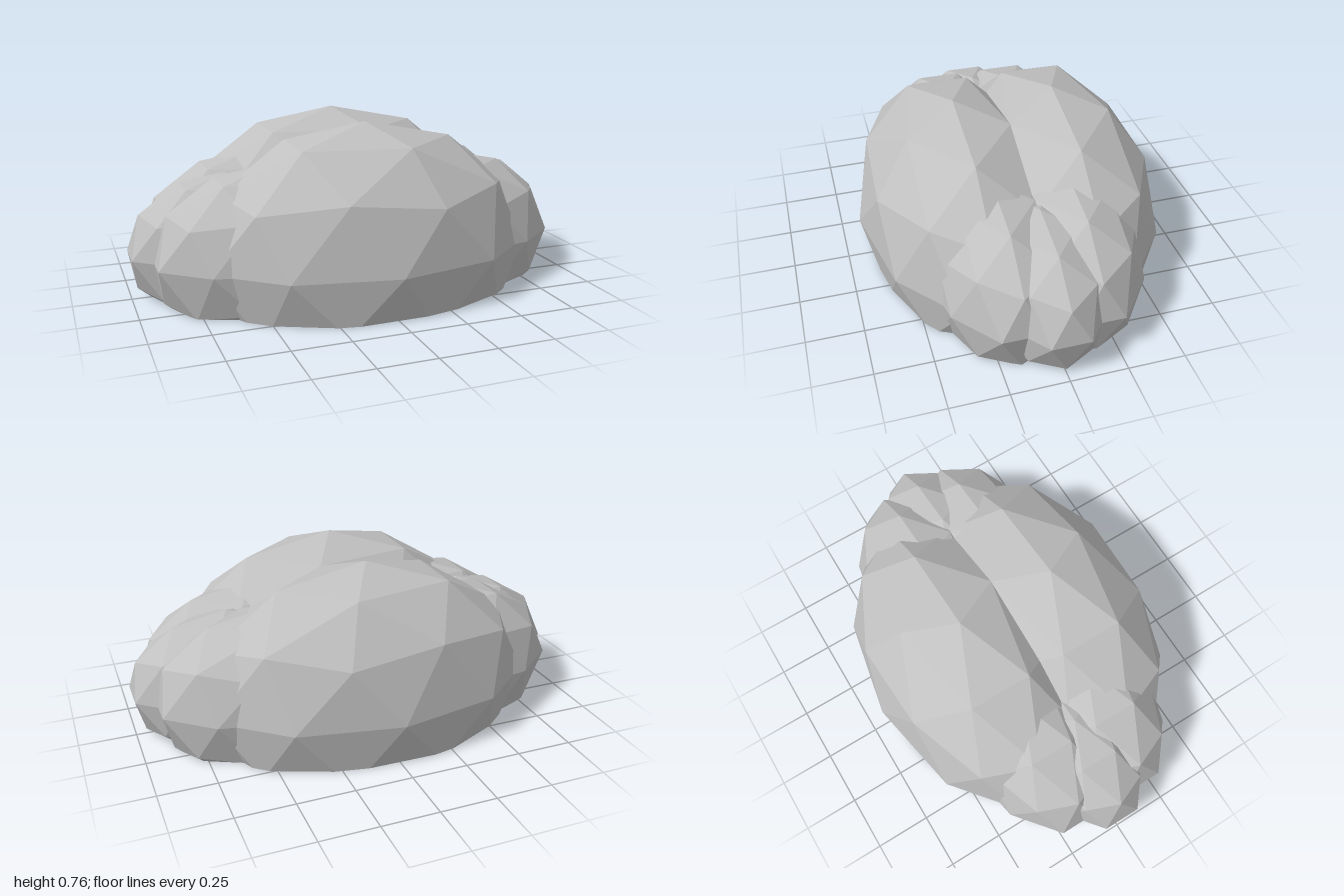
import * as THREE from 'three';

const GOLDEN = (1 + Math.sqrt(5)) / 2;

// Faceted ellipsoid with a vertex on top, sliced flat at y = 0 and capped
function lobeGeometry(centre, radii) {
  const ball = new THREE.IcosahedronGeometry(1, 1)
    .rotateZ(-Math.atan(1 / GOLDEN))
    .scale(...radii)
    .translate(...centre);
  const source = ball.getAttribute('position');
  const points = [];
  const rim = [];

  // Keep the part of each triangle above the ground
  for (let i = 0; i < source.count; i += 3) {
    const corners = [0, 1, 2].map(k => new THREE.Vector3().fromBufferAttribute(source, i + k));
    const kept = [];
    corners.forEach((a, k) => {
      const b = corners[(k + 1) % 3];
      if (a.y >= 0) kept.push(a);
      if ((a.y >= 0) !== (b.y >= 0)) {
        const cut = a.clone().lerp(b, a.y / (a.y - b.y));
        cut.y = 0;
        kept.push(cut);
        rim.push(cut);
      }
    });
    for (let k = 1; k < kept.length - 1; k++) points.push(kept[0], kept[k], kept[k + 1]);
  }

  // Flat underside, fanned from the centre
  const hub = new THREE.Vector3(centre[0], 0, centre[2]);
  const angle = p => Math.atan2(p.z - hub.z, p.x - hub.x);
  rim.sort((a, b) => angle(a) - angle(b));
  rim.forEach((p, i) => {
    const next = rim[(i + 1) % rim.length];
    if (p.distanceTo(next) > 1e-5) points.push(hub, p, next);
  });

  const geometry = new THREE.BufferGeometry().setFromPoints(points);
  geometry.computeVertexNormals();
  return geometry;
}

export function createModel() {
  const model = new THREE.Group();
  model.name = 'lobedMound';
  const grey = new THREE.MeshStandardMaterial({ color: 0xc0c0c0 });
  grey.name = 'grey';

  function addLobe(name, x, z, size) {
    const radii = [0.765 * size, 0.565 * size, 0.455 * size];
    const mesh = new THREE.Mesh(lobeGeometry([x, 0.2, z], radii), grey);
    mesh.name = name;
    model.add(mesh);
  }

  // Two large lobes side by side
  for (const [side, s] of [['front', 1], ['back', -1]]) addLobe(`${side}MainLobe`, 0, 0.226 * s, 1);

  // A medium pair and one small lobe at each end
  for (const [end, e] of [['left', 1], ['right', -1]]) {
    for (const [side, s] of [['Front', 1], ['Back', -1]]) {
      addLobe(`${end}${side}MediumLobe`, 0.405 * e, 0.161 * s, 0.7);
    }
    addLobe(`${end}SmallLobe`, 0.563 * e, 0, 0.6);
  }
  return model;
}
